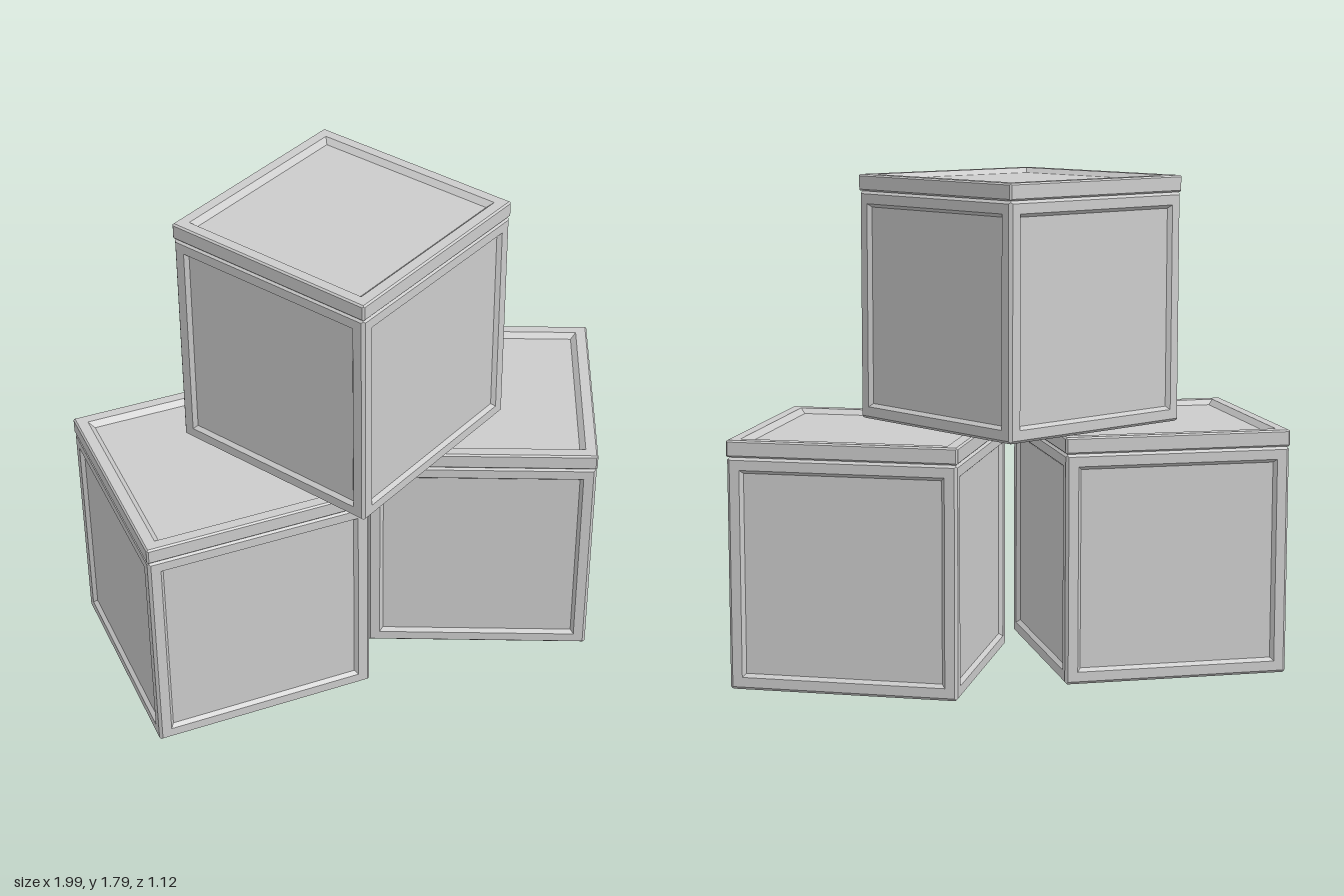
import * as THREE from 'three';

const SIZE = 0.826, LID_Y = 0.83, HEIGHT = 0.89;

// Six sides: rotation that turns a +z facing panel outwards
const SIDES = {
  front: [0, 0], right: [0, -Math.PI / 2], back: [0, Math.PI], left: [0, Math.PI / 2],
  top: [-Math.PI / 2, 0], bottom: [Math.PI / 2, 0],
};

// One face as nested rectangles: chamfer, rim, then an optional sloped recess
function addFace(out, turn, a, b, dist, c, recess) {
  const rings = [[c / 2, -c / 2], [c, 0]]; // [inset from edge, offset along normal]
  if (recess) rings.push([recess.inset, 0], [recess.inset + recess.bevel, -recess.depth]);
  const rotation = new THREE.Euler(turn[0], turn[1], 0);
  const corners = rings.map(([inset, off]) =>
    [[-1, -1], [1, -1], [1, 1], [-1, 1]].map(([sx, sy]) =>
      new THREE.Vector3(sx * (a - inset), sy * (b - inset), dist + off).applyEuler(rotation)));
  const quad = (p, q, r, s) => [p, q, r, p, r, s].forEach(v => out.push(v.x, v.y, v.z));
  for (let i = 0; i < corners.length - 1; i++) {
    for (let k = 0; k < 4; k++) {
      const n = (k + 1) % 4;
      quad(corners[i][k], corners[i][n], corners[i + 1][n], corners[i + 1][k]);
    }
  }
  quad(...corners[corners.length - 1]);
}

// Chamfered box whose listed sides carry a recessed panel
function panelBox(w, h, d, chamfer, recess, recessedSides) {
  const out = [];
  for (const [side, turn] of Object.entries(SIDES)) {
    const cap = side === 'top' || side === 'bottom';
    const across = side === 'left' || side === 'right';
    const a = (across ? d : w) / 2;
    const b = (cap ? d : h) / 2;
    const dist = (cap ? h : across ? w : d) / 2;
    addFace(out, turn, a, b, dist, chamfer, recessedSides.includes(side) ? recess : null);
  }
  const geometry = new THREE.BufferGeometry();
  geometry.setAttribute('position', new THREE.Float32BufferAttribute(out, 3));
  geometry.computeVertexNormals();
  return geometry;
}

export function createModel() {
  const model = new THREE.Group();
  model.name = 'crateStack';
  const material = new THREE.MeshStandardMaterial({ color: 0xcccccc, flatShading: true });

  // Shared body with four side panels, and lid with a sunken top
  const bodyGeometry = panelBox(SIZE - 0.004, LID_Y, SIZE - 0.004, 0.01,
    { inset: 0.045, bevel: 0.012, depth: 0.014 }, ['front', 'back', 'left', 'right']);
  const lidGeometry = panelBox(SIZE, HEIGHT - LID_Y, SIZE, 0.006,
    { inset: 0.043, bevel: 0.02, depth: 0.018 }, ['top']);

  const addCrate = (name, x, y, z, angle) => {
    const crate = new THREE.Group();
    crate.name = name;
    const body = new THREE.Mesh(bodyGeometry, material);
    body.name = 'body';
    body.position.y = LID_Y / 2;
    const lid = new THREE.Mesh(lidGeometry, material);
    lid.name = 'lid';
    lid.position.y = (LID_Y + HEIGHT) / 2;
    crate.add(body, lid);
    crate.position.set(x, y, z);
    crate.rotation.y = angle;
    model.add(crate);
  };

  addCrate('rightCrate', -0.587, 0, -0.005, 0);
  addCrate('leftCrate', 0.447, 0, -0.005, -0.425);
  addCrate('topCrate', -0.103, 0.896, 0, 0.505);
  return model;
}
